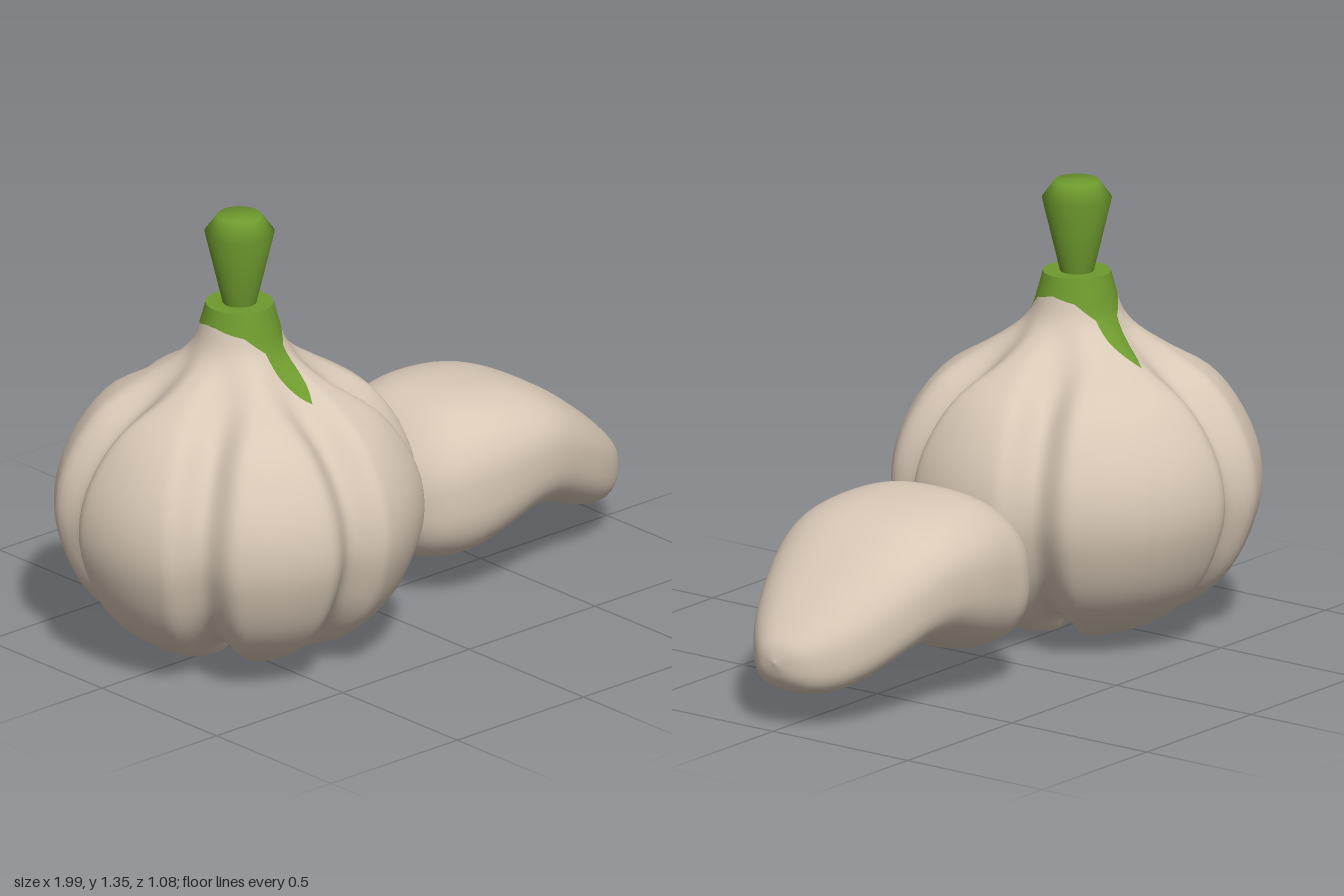
import * as THREE from 'three';

const skin = new THREE.MeshStandardMaterial({ color: 0xd8c8b6 });
skin.name = 'papery skin';
const green = new THREE.MeshStandardMaterial({ color: 0x6e9a2e });
green.name = 'stem green';

// Grid of rows x cols vertices, closed around the columns, with smooth normals
function loft(rows, cols, pointAt) {
  const pos = [], index = [];
  for (let i = 0; i < rows; i++)
    for (let j = 0; j < cols; j++) pos.push(...pointAt(i, (j / cols) * Math.PI * 2));
  for (let i = 0; i < rows - 1; i++)
    for (let j = 0; j < cols; j++) {
      const a = i * cols + j, b = i * cols + ((j + 1) % cols);
      index.push(a, a + cols, b, b, a + cols, b + cols);
    }
  const geo = new THREE.BufferGeometry();
  geo.setAttribute('position', new THREE.Float32BufferAttribute(pos, 3));
  geo.setIndex(index);
  geo.computeVertexNormals();
  return geo;
}

const angleGap = (a, b) => Math.abs(Math.atan2(Math.sin(a - b), Math.cos(a - b)));
const rad = THREE.MathUtils.degToRad;
const smooth = THREE.MathUtils.smoothstep;

// Bulb profile (radius, height), from the base up to the neck
const profile = new THREE.CatmullRomCurve3([
  [0, 0.03], [0.085, 0.004], [0.19, 0.018], [0.29, 0.055], [0.39, 0.12], [0.463, 0.2], [0.513, 0.3],
  [0.544, 0.42], [0.534, 0.54], [0.485, 0.657], [0.405, 0.76], [0.275, 0.845], [0.178, 0.91],
  [0.136, 0.96], [0.115, 1.025], [0.1, 1.08],
].map(([r, y]) => new THREE.Vector3(r, y, 0)));

// Angles of the creases between the cloves
const creases = [90, 35, 145, -23, 203, -101].map(rad);

function bulbPoint(t, angle) {
  const p = profile.getPoint(t), tan = profile.getTangent(t);
  const halfWidth = Math.min(0.115 / Math.max(p.x, 0.01), rad(25));
  const depth = 0.062 * smooth(p.x, 0, 0.15) * (1 - smooth(p.y, 0.74, 0.97));
  let cut = 0;
  for (const c of creases) {
    const d = angleGap(angle, c) / halfWidth;
    if (d < 1) cut = Math.max(cut, depth * (0.5 + 0.5 * Math.cos(Math.PI * d)));
  }
  const r = Math.max(0, p.x - tan.y * cut), y = p.y + tan.x * cut;
  return [r * Math.cos(angle), y, r * Math.sin(angle)];
}

// Lower edge of the green: gap in degrees from the front or back point, height
const greenEdge = [[0, 0.84], [6, 0.87], [12, 0.905], [18, 0.96], [45, 1.008], [90, 1.03]];
function greenStart(angle) {
  const gap = Math.min(angleGap(angle, rad(80)), angleGap(angle, rad(-80))) * 180 / Math.PI;
  let k = 1;
  while (k < greenEdge.length - 1 && gap > greenEdge[k][0]) k++;
  const [g0, y0] = greenEdge[k - 1], [g1, y1] = greenEdge[k];
  const height = y0 + (y1 - y0) * Math.min(1, (gap - g0) / (g1 - g0));
  let lo = 0.5, hi = 1;
  for (let n = 0; n < 20; n++) {
    const mid = (lo + hi) / 2;
    if (profile.getPoint(mid).y < height) lo = mid; else hi = mid;
  }
  return lo;
}

// Bulb with skin below and green neck above, sharing one edge
function makeBulb() {
  const cols = 180, low = 44, high = 10;
  const geo = loft(low + high + 1, cols, (i, angle) => {
    const edge = greenStart(angle);
    const t = i <= low ? edge * i / low : edge + (1 - edge) * (i - low) / high;
    return bulbPoint(t, angle);
  });
  geo.addGroup(0, low * cols * 6, 0);
  geo.addGroup(low * cols * 6, high * cols * 6, 1);
  return new THREE.Mesh(geo, [skin, green]);
}

// Loose clove sections: x, top, bottom, back z, front z
const sections = [
  [0.064, 0.3, 0.3, -0.02, -0.02], [0.068, 0.36, 0.245, -0.12, 0.08], [0.092, 0.44, 0.19, -0.21, 0.15],
  [0.14, 0.51, 0.135, -0.285, 0.22], [0.2, 0.562, 0.11, -0.32, 0.26], [0.28, 0.595, 0.108, -0.33, 0.288],
  [0.38, 0.6, 0.14, -0.34, 0.302], [0.5, 0.588, 0.185, -0.333, 0.298], [0.6, 0.56, 0.185, -0.315, 0.28],
  [0.7, 0.505, 0.15, -0.282, 0.25], [0.8, 0.43, 0.112, -0.235, 0.21], [0.88, 0.362, 0.1, -0.185, 0.165],
  [0.94, 0.305, 0.115, -0.13, 0.115], [0.98, 0.26, 0.155, -0.07, 0.065], [0.995, 0.21, 0.21, 0, 0],
];
function makeClove() {
  const curve = (f) => new THREE.CatmullRomCurve3(
    sections.map(([x, t, b, z0, z1]) => new THREE.Vector3(x, ...f(t, b, z0, z1))), false, 'catmullrom', 0.5);
  const mid = curve((t, b, z0, z1) => [(t + b) / 2, (z0 + z1) / 2]);
  const half = curve((t, b, z0, z1) => [(t - b) / 2, (z1 - z0) / 2]);
  const round = (v) => Math.sign(v) * Math.pow(Math.abs(v), 0.78);
  const rows = 43;
  return new THREE.Mesh(loft(rows, 56, (i, a) => {
    const c = mid.getPoint(i / (rows - 1)), h = half.getPoint(i / (rows - 1));
    return [c.x, c.y + h.y * round(Math.cos(a)), c.z - h.z * round(Math.sin(a))];
  }), skin);
}

export function createModel() {
  const model = new THREE.Group();
  model.name = 'garlic';

  const head = new THREE.Group();
  head.name = 'garlicHead';
  head.position.x = -0.455;
  const bulb = makeBulb();
  bulb.name = 'bulb';

  // Flat top of the neck
  const neckTop = new THREE.Mesh(new THREE.CircleGeometry(0.1, 48), green);
  neckTop.name = 'neckTop';
  neckTop.rotation.x = -Math.PI / 2;
  neckTop.position.y = 1.08;

  // Flared stalk
  const stalk = new THREE.Mesh(new THREE.LatheGeometry(
    [[0.05, 1.08], [0.103, 1.303], [0.065, 1.355], [0, 1.355]].map(([r, y]) => new THREE.Vector2(r, y)), 32), green);
  stalk.name = 'stalk';
  head.add(bulb, neckTop, stalk);

  const clove = makeClove();
  clove.name = 'looseClove';
  model.add(head, clove);
  return model;
}
